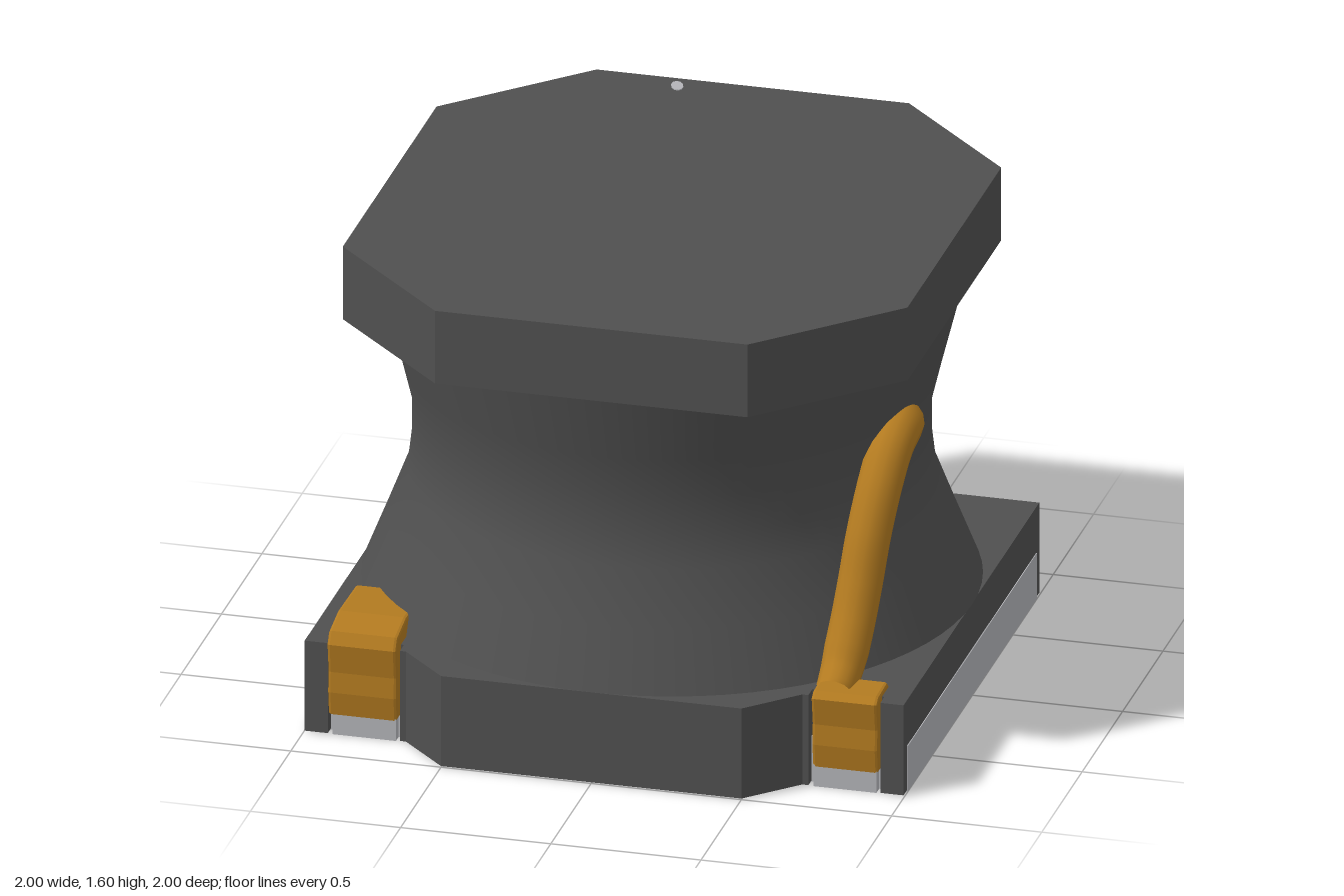
import * as THREE from 'three';

const mat = (name, color) => new THREE.MeshStandardMaterial({ name, color });

// Plan outline given as [x, z] points, raised from y0 to y1
function slab(points, y0, y1) {
  const shape = new THREE.Shape(points.map(([x, z]) => new THREE.Vector2(x, -z)));
  const geo = new THREE.ExtrudeGeometry(shape, { depth: y1 - y0, bevelEnabled: false });
  return geo.rotateX(-Math.PI / 2).translate(0, y0, 0);
}

// Side profile given as [z, y] points, spread along x around a centre
function strap(points, centreX, width) {
  const b = 0.01;
  const shape = new THREE.Shape(points.map(([z, y]) => new THREE.Vector2(z, y)));
  const geo = new THREE.ExtrudeGeometry(shape, {
    depth: width - 2 * b, bevelThickness: b, bevelSize: b, bevelOffset: -b, bevelSegments: 2,
  });
  return geo.translate(0, 0, b - width / 2).rotateY(-Math.PI / 2).translate(centreX, 0, 0);
}

export function createModel() {
  const model = new THREE.Group();
  model.name = 'pedestal';
  const dark = mat('darkGrey', 0x505050);
  const light = mat('lightGrey', 0xb3b4b8);
  const amber = mat('amber', 0xb27a20);

  const add = (name, geo, material) => {
    const mesh = new THREE.Mesh(geo, material);
    mesh.name = name;
    model.add(mesh);
    return mesh;
  };

  // Base with chamfered front and back bulges and two notches at the front
  const half = [
    [0.5, 1], [0.66, 0.84], [0.68, 0.84], [0.68, 0.79], [0.92, 0.79], [0.92, 0.84],
    [0.997, 0.84], [0.997, -0.84], [0.66, -0.84], [0.5, -1],
  ];
  const mirrored = half.map(([x, z]) => [-x, z]).reverse();
  add('base', slab([...half, ...mirrored], 0.004, 0.32), dark);

  // Waisted round column
  const profile = [
    [1.0, 0.32], [0.92, 0.52], [0.85, 0.7], [0.836, 0.82], [0.836, 0.95], [0.87, 1.09], [0.935, 1.345],
  ].map(([r, y]) => new THREE.Vector2(r, y));
  add('column', new THREE.LatheGeometry(profile, 72), dark);

  // Eight-sided top plate
  add('topPlate', slab([
    [0.52, 1], [0.94, 0.58], [0.94, -0.58], [0.52, -1],
    [-0.52, -1], [-0.94, -0.58], [-0.94, 0.58], [-0.52, 1],
  ], 1.345, 1.6), dark);

  // Runners let into the underside, with tongues showing in the notches
  for (const s of [-1, 1]) {
    add(s > 0 ? 'leftRunner' : 'rightRunner',
      new THREE.BoxGeometry(0.47, 0.16, 1.6).translate(s * 0.765, 0.08, 0), light);
    add(s > 0 ? 'leftTongue' : 'rightTongue',
      new THREE.BoxGeometry(0.21, 0.075, 0.06).translate(s * 0.8, 0.0375, 0.805), light);
  }

  // Soft straps folded over the front edge
  add('rightStrap', strap([
    [0.78, 0.07], [0.835, 0.07], [0.845, 0.15], [0.84, 0.22], [0.853, 0.32], [0.83, 0.36],
    [0.72, 0.385], [0.5, 0.38], [0.48, 0.3], [0.78, 0.3],
  ], -0.805, 0.23), amber);
  add('leftStrap', strap([
    [0.78, 0.07], [0.835, 0.07], [0.845, 0.15], [0.84, 0.22], [0.855, 0.315], [0.83, 0.335],
    [0.72, 0.34], [0.68, 0.3], [0.78, 0.3],
  ], 0.802, 0.22), amber);

  // Cord climbing the column from the left strap, tapering into it at the top
  const path = new THREE.CatmullRomCurve3([
    [0.75, 0.31, 0.78], [0.752, 0.36, 0.69], [0.762, 0.48, 0.6], [0.772, 0.6, 0.54],
    [0.785, 0.75, 0.48], [0.803, 0.9, 0.4], [0.815, 0.99, 0.32], [0.82, 1.018, 0.24],
    [0.815, 1.01, 0.15], [0.805, 0.99, 0.07],
  ].map((p) => new THREE.Vector3(...p)));
  const rings = 60, sides = 14;
  const cord = new THREE.TubeGeometry(path, rings, 0.074, sides);
  const pos = cord.attributes.position;
  const v = new THREE.Vector3();
  for (let i = 0; i <= rings; i++) {
    const t = i / rings;
    const scale = t > 0.85 ? Math.sqrt(Math.max(0, 1 - ((t - 0.85) / 0.15) ** 2)) : 0.85 + 0.15 * Math.min(1, t / 0.15);
    const centre = path.getPointAt(t);
    for (let j = 0; j <= sides; j++) {
      const k = i * (sides + 1) + j;
      v.fromBufferAttribute(pos, k).sub(centre).multiplyScalar(scale).add(centre);
      pos.setXYZ(k, v.x, v.y, v.z);
    }
  }
  cord.computeVertexNormals();
  add('cord', cord, amber);

  // Small pale fleck near the back of the top
  const fleck = add('topFleck', new THREE.CylinderGeometry(0.02, 0.02, 0.004, 10).scale(1, 1, 1.8), light);
  fleck.position.set(-0.235, 1.601, -0.938);
  fleck.rotation.y = 0.35;

  return model;
}
